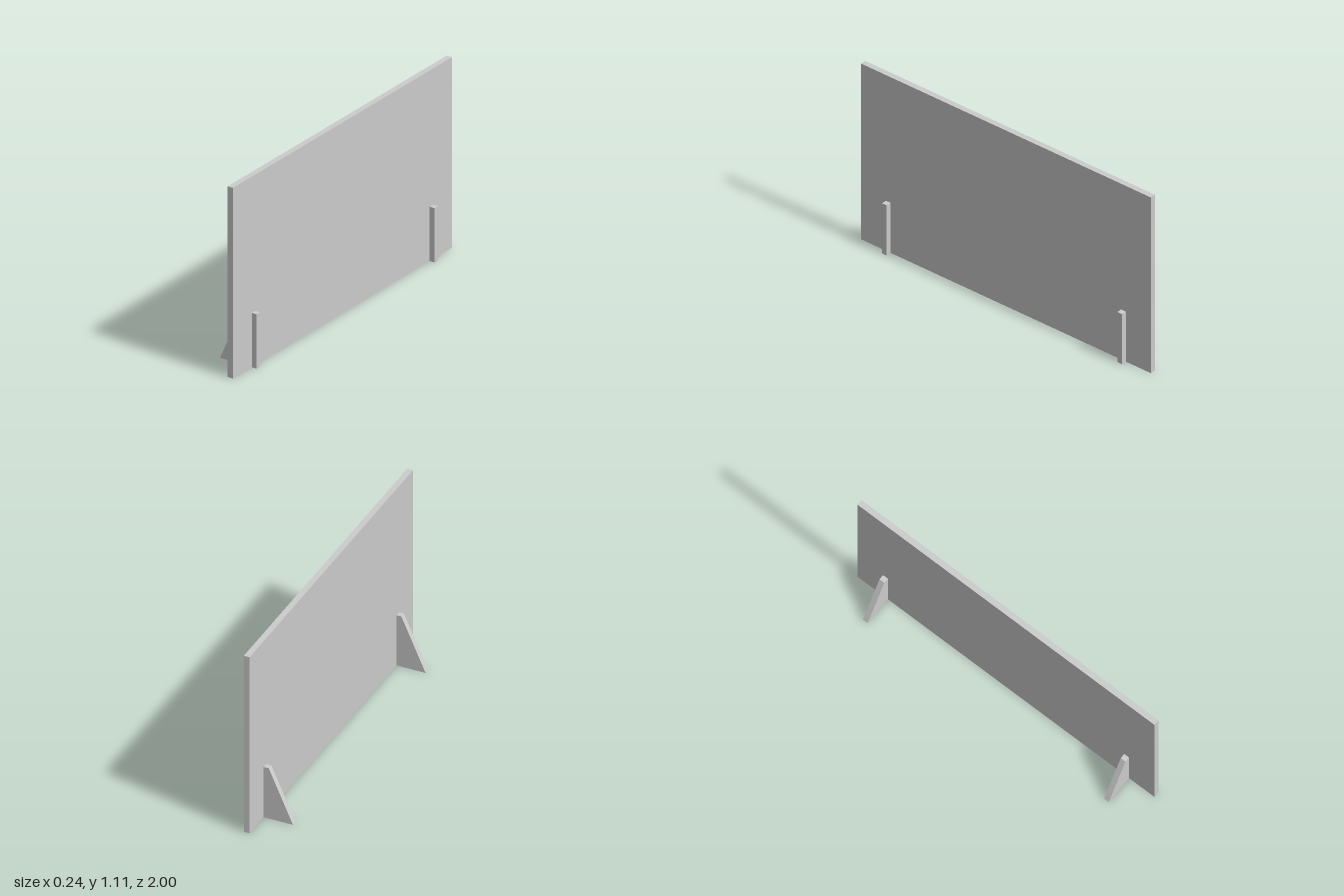
import * as THREE from 'three';

export function createModel() {
  const group = new THREE.Group();
  const material = new THREE.MeshStandardMaterial({ color: 0xcccccc, flatShading: true });

  // Upright panel
  const height = 1.112;
  const panel = new THREE.Mesh(new THREE.BoxGeometry(0.034, height, 2), material);
  panel.name = 'panel';
  panel.position.set(0.07, height / 2, 0);
  group.add(panel);

  // Sloped feet crossing the panel near both ends
  const depth = 0.032;
  const profile = new THREE.Shape([
    new THREE.Vector2(-0.119, 0),
    new THREE.Vector2(0.119, 0),
    new THREE.Vector2(0.119, 0.317),
    new THREE.Vector2(0.023, 0.317),
  ]);
  const footGeometry = new THREE.ExtrudeGeometry(profile, { depth, bevelEnabled: false });
  footGeometry.translate(0, 0, -depth / 2);
  for (const [name, z] of [['frontFoot', 0.812], ['backFoot', -0.812]]) {
    const foot = new THREE.Mesh(footGeometry, material);
    foot.name = name;
    foot.position.z = z;
    group.add(foot);
  }

  return group;
}
